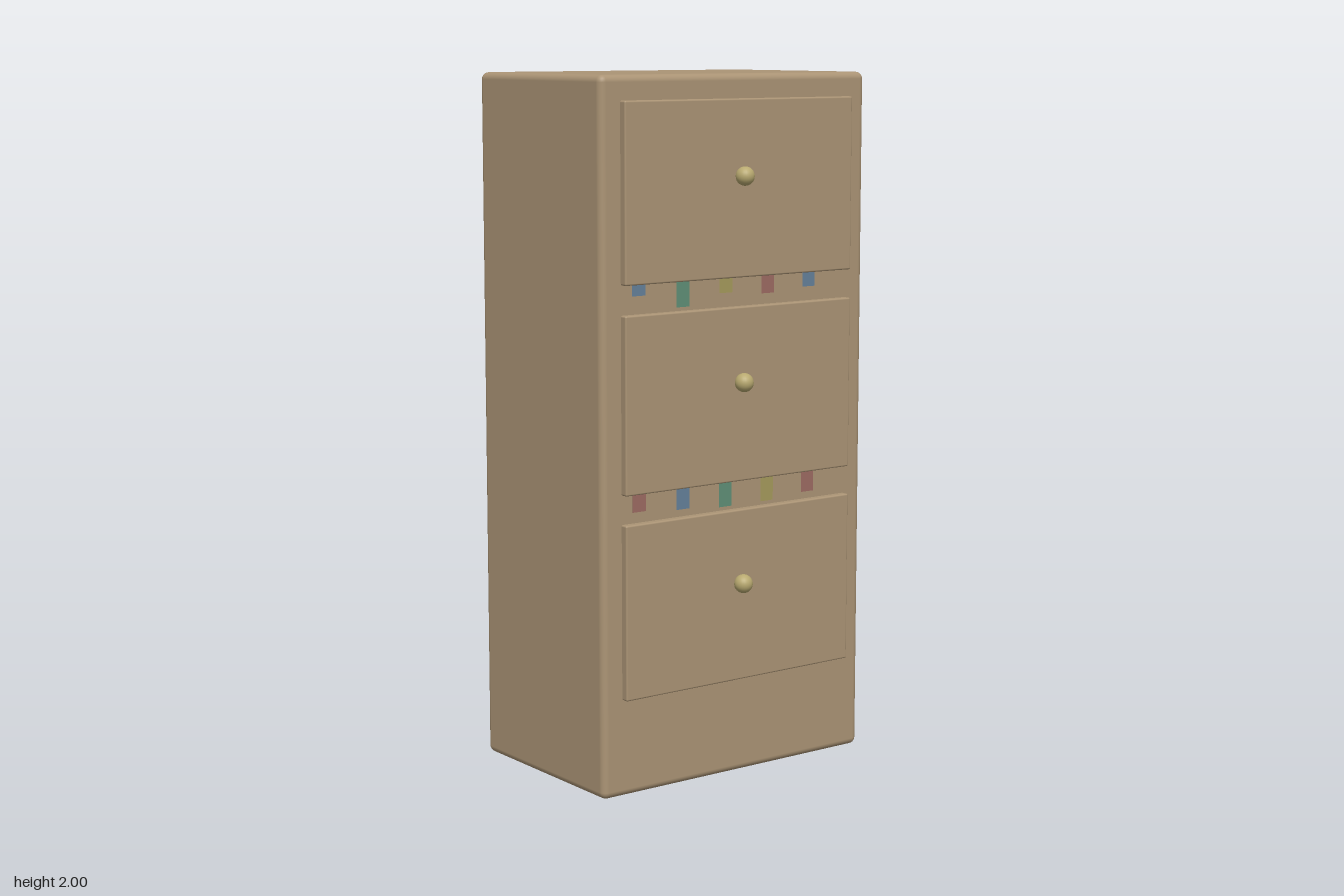
import * as THREE from 'three';
import { RoundedBoxGeometry } from 'three/addons/geometries/RoundedBoxGeometry.js';

const WOOD = new THREE.MeshStandardMaterial({ color: 0xab9475 });
const BRASS = new THREE.MeshStandardMaterial({ color: 0xb8a970 });
const TAB_COLORS = [0x9c6a62, 0x64809a, 0x5f8f76, 0xa59a5c]
  .map((color) => new THREE.MeshStandardMaterial({ color }));

const FRONT = 0.27; // front plane of the cabinet body

function addMesh(parent, name, geometry, material, x, y, z) {
  const mesh = new THREE.Mesh(geometry, material);
  mesh.name = name;
  mesh.position.set(x, y, z);
  parent.add(mesh);
  return mesh;
}

export function createModel() {
  const cabinet = new THREE.Group();
  cabinet.name = 'filingCabinet';

  // Softly rounded body
  addMesh(cabinet, 'body', new RoundedBoxGeometry(0.93, 2, 0.6, 3, 0.02), WOOD, 0, 1, FRONT - 0.3);

  // Three equal drawers, each with a slightly raised front and a round knob
  const panel = new RoundedBoxGeometry(0.8, 0.496, 0.04, 2, 0.005);
  const ball = new THREE.SphereGeometry(0.027, 24, 16);
  for (let i = 0; i < 3; i++) {
    const drawer = new THREE.Group();
    drawer.name = `drawer${i + 1}`;
    drawer.position.y = 0.527 + i * 0.578;
    addMesh(drawer, 'drawerFront', panel, WOOD, 0, 0, FRONT + 0.002);
    addMesh(drawer, 'knob', ball, BRASS, 0, 0.035, 0.304);
    cabinet.add(drawer);
  }

  // Small muted file tabs lying almost flush in the gaps between drawers
  const order = [[0, 1, 2, 3, 0], [1, 2, 3, 0, 1]];
  const heights = [[0.05, 0.06, 0.07, 0.07, 0.06], [0.03, 0.07, 0.04, 0.05, 0.04]];
  order.forEach((row, gap) => row.forEach((color, i) => {
    const h = heights[gap][i];
    addMesh(cabinet, 'fileTab', new THREE.BoxGeometry(0.045, h, 0.02), TAB_COLORS[color],
      -0.34 + i * 0.15, 0.855 + gap * 0.578 - h / 2, FRONT - 0.0095);
  }));

  return cabinet;
}
